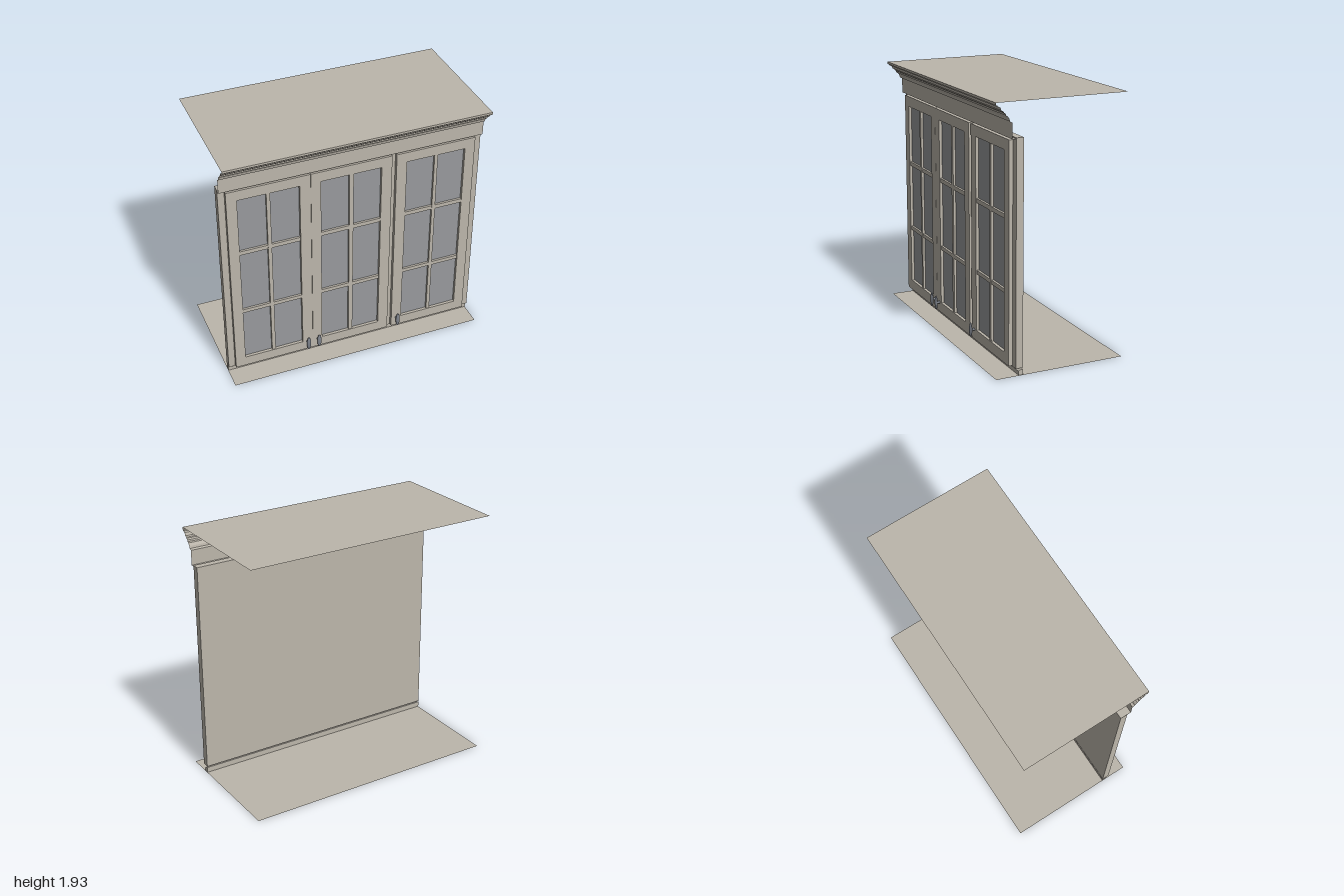
import * as THREE from 'three';

const mat = (name, color, side = THREE.FrontSide) => {
  const m = new THREE.MeshStandardMaterial({ color, side });
  m.name = name;
  return m;
};

export function createModel() {
  const cabinet = new THREE.Group();
  cabinet.name = 'wallCabinet';
  const paint = mat('warm grey paint', 0xbcb6ab, THREE.DoubleSide);
  const glass = mat('grey glass', 0x989a9d);
  const metal = mat('dark pewter', 0x7c818a);

  const add = (parent, name, geometry, material, x = 0, y = 0, z = 0) => {
    const mesh = new THREE.Mesh(geometry, material);
    mesh.name = name;
    mesh.position.set(x, y, z);
    parent.add(mesh);
    return mesh;
  };
  // box given by its limits on each axis
  const block = (parent, name, material, [x0, x1], [y0, y1], [z0, z1]) =>
    add(parent, name, new THREE.BoxGeometry(x1 - x0, y1 - y0, z1 - z0), material,
      (x0 + x1) / 2, (y0 + y1) / 2, (z0 + z1) / 2);
  const rectangle = (target, x0, x1, y0, y1) => {
    target.moveTo(x0, y0);
    target.lineTo(x1, y0);
    target.lineTo(x1, y1);
    target.lineTo(x0, y1);
    target.closePath();
    return target;
  };

  // thin top and bottom sheets
  for (const [name, y] of [['topSheet', 1.935], ['bottomSheet', 0]]) {
    add(cabinet, name, new THREE.PlaneGeometry(2, 1).rotateX(-Math.PI / 2), paint, 0, y, 0);
  }

  // solid face panel behind the doors
  block(cabinet, 'facePanel', paint, [-1, 1], [0.055, 1.69], [0.295, 0.35]);

  // light rail with a sloping top, drawn in (z, y) and run along x
  const railShape = new THREE.Shape([[0.295, 0.004], [0.328, 0.004], [0.328, 0.033], [0.317, 0.042], [0.295, 0.046]]
    .map(([z, y]) => new THREE.Vector2(-z, y)));
  const rail = new THREE.ExtrudeGeometry(railShape, { depth: 2, bevelEnabled: false });
  rail.rotateY(Math.PI / 2).translate(-1, 0, 0);
  add(cabinet, 'bottomRail', rail, paint);

  // stepped crown moulding and fascia: an open sheet following (y, z) from top to bottom
  const profile = [
    [1.935, 0.5], [1.918, 0.5], [1.915, 0.488], [1.907, 0.488], [1.902, 0.468],
    [1.88, 0.46], [1.874, 0.445], [1.866, 0.443], [1.858, 0.43], [1.845, 0.428],
    [1.84, 0.415], [1.82, 0.402], [1.803, 0.398], [1.795, 0.38], [1.682, 0.38], [1.682, 0.35],
  ];
  const sheet = new THREE.PlaneGeometry(2, 1, 1, profile.length - 1);
  const pos = sheet.attributes.position;
  for (let i = 0; i < pos.count; i++) {
    const [y, z] = profile[Math.floor(i / 2)];
    pos.setXYZ(i, pos.getX(i), y, z);
  }
  const crown = sheet.toNonIndexed();
  crown.computeVertexNormals();
  add(cabinet, 'crownMoulding', crown, paint);

  // glazed doors, each with six panes and one oval knob
  const rows = [[0.139, 0.572], [0.602, 1.107], [1.139, 1.588]];
  const doors = [
    { x: [-0.95, -0.331], panes: [[-0.872, -0.658], [-0.63, -0.412]], knob: -0.374 },
    { x: [-0.329, 0.29], panes: [[-0.254, -0.036], [-0.004, 0.21]], knob: -0.289 },
    { x: [0.325, 0.945], panes: [[0.406, 0.626], [0.652, 0.867]], knob: 0.367 },
  ];
  const doorBottom = 0.06, doorTop = 1.668, back = 0.35, front = 0.378;
  doors.forEach(({ x, panes, knob }, index) => {
    const door = new THREE.Group();
    door.name = `door${index + 1}`;
    cabinet.add(door);
    const opening = [panes[0][0], panes[1][1]];
    const bottom = rows[0][0], top = rows[2][1];

    const shape = rectangle(new THREE.Shape(), ...x, doorBottom, doorTop);
    shape.holes.push(rectangle(new THREE.Path(), ...opening, bottom, top));
    add(door, 'doorFrame', new THREE.ExtrudeGeometry(shape, { depth: front - back, bevelEnabled: false }),
      paint, 0, 0, back);

    // glazing bars
    block(door, 'verticalBar', paint, [panes[0][1], panes[1][0]], [bottom, top], [back, front - 0.004]);
    for (let r = 0; r < 2; r++) {
      block(door, 'crossBar', paint, opening, [rows[r][1], rows[r + 1][0]], [back, front - 0.005]);
    }
    for (const pane of panes) {
      for (const row of rows) block(door, 'pane', glass, pane, row, [back, back + 0.006]);
    }

    // knob on a short stem
    const stem = new THREE.CylinderGeometry(0.008, 0.011, 0.03, 16).rotateX(Math.PI / 2);
    add(door, 'knobStem', stem, metal, knob, 0.135, 0.39);
    const oval = new THREE.SphereGeometry(1, 24, 16).scale(0.017, 0.057, 0.011);
    add(door, 'knob', oval, metal, knob, 0.135, 0.407);
  });

  return cabinet;
}
